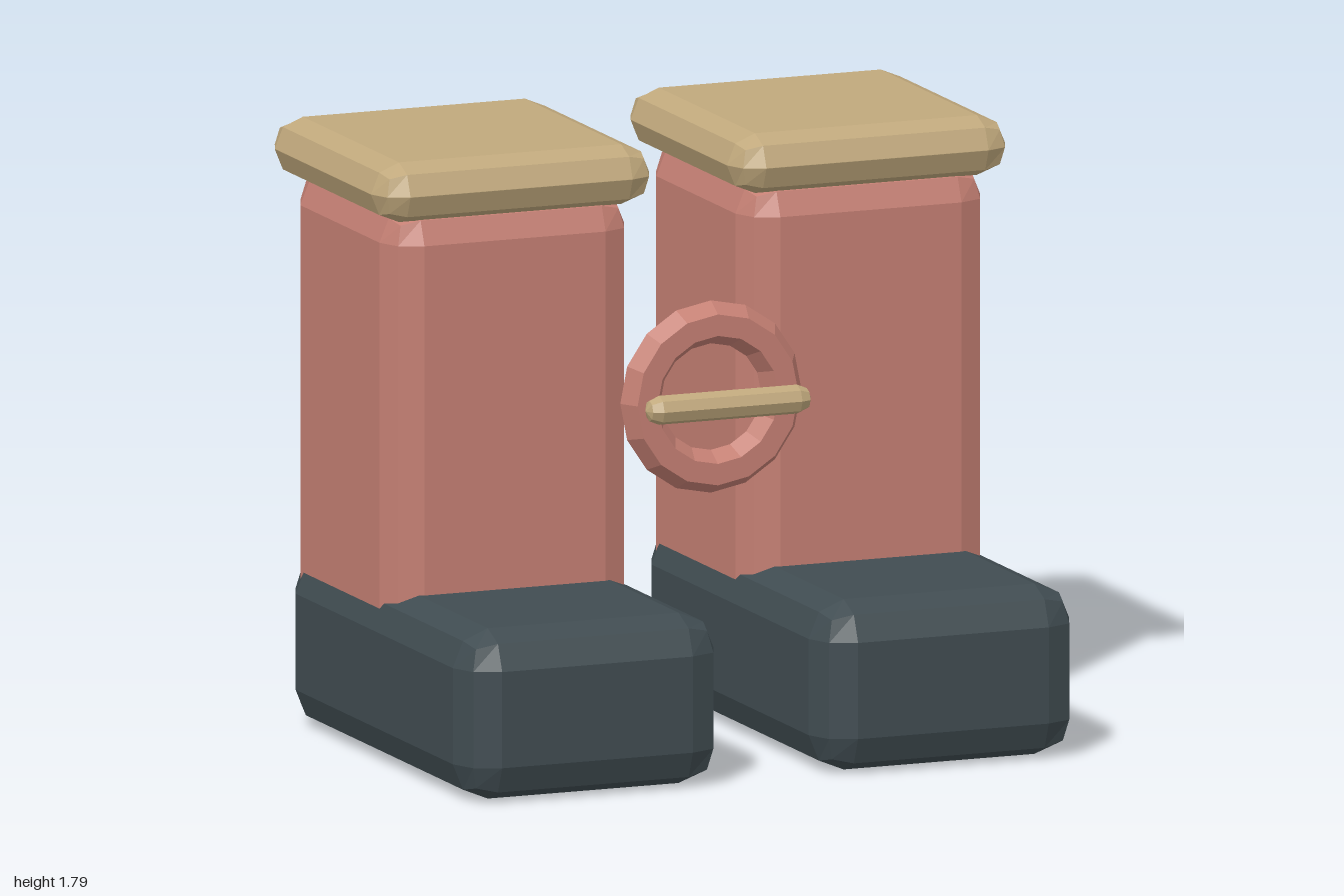
import * as THREE from 'three';
import { RoundedBoxGeometry } from 'three/addons/geometries/RoundedBoxGeometry.js';

const material = (color) => new THREE.MeshStandardMaterial({ color, flatShading: true });

export function createModel() {
  const model = new THREE.Group();
  const slate = material(0x404c51);
  const clay = material(0xc47f73);
  const tan = material(0xc0a87c);

  const add = (parent, name, geometry, mat, x, y, z) => {
    const mesh = new THREE.Mesh(geometry, mat);
    mesh.name = name;
    mesh.position.set(x, y, z);
    parent.add(mesh);
    return mesh;
  };

  // Chamfered box given by its lower and upper limits, centred on x
  const block = (parent, name, mat, width, [y0, y1], [z0, z1], bevel) =>
    add(parent, name, new RoundedBoxGeometry(width, y1 - y0, z1 - z0, 1, bevel),
      mat, 0, (y0 + y1) / 2, (z0 + z1) / 2);

  // Pair of boots: foot, shaft and cuff
  for (const [side, sign] of [['left', 1], ['right', -1]]) {
    const boot = new THREE.Group();
    boot.name = side + 'Boot';
    boot.position.x = sign * 0.56;
    block(boot, 'foot', slate, 0.82, [0, 0.505], [-0.67, 0.74], 0.11);
    block(boot, 'shaft', clay, 0.77, [0.29, 1.64], [-0.685, 0.115], 0.1);
    block(boot, 'cuff', tan, 0.875, [1.61, 1.787], [-0.74, 0.165], 0.088);
    model.add(boot);
  }

  // Buckle floating between the boots
  add(model, 'buckleRing', new THREE.TorusGeometry(0.2215, 0.0635, 6, 16), clay, 0, 1.055, 0.25);
  const pin = add(model, 'bucklePin', new THREE.CapsuleGeometry(0.043, 0.434, 2, 8), tan, 0, 1.055, 0.38);
  pin.rotation.z = Math.PI / 2;

  return model;
}
